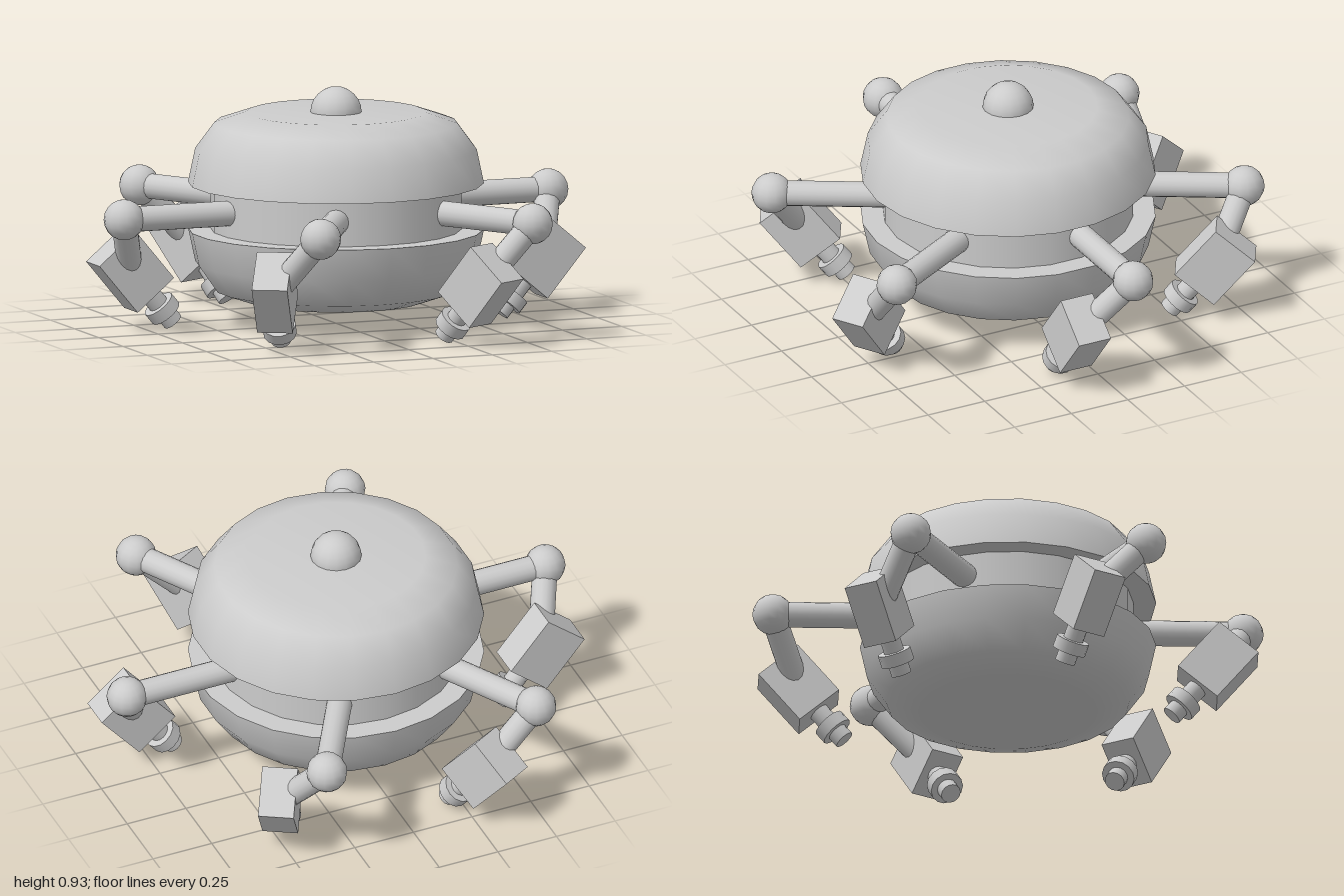
import * as THREE from 'three';

const material = new THREE.MeshStandardMaterial({ color: 0xcccccc });
const SIDES = 22;

function add(parent, name, geometry, x = 0, y = 0, z = 0) {
  const mesh = new THREE.Mesh(geometry, material);
  mesh.name = name;
  mesh.position.set(x, y, z);
  parent.add(mesh);
  return mesh;
}

// Revolved surface from [radius, height] pairs
function lathe(parent, name, profile) {
  const points = profile.map(([r, y]) => new THREE.Vector2(r, y));
  return add(parent, name, new THREE.LatheGeometry(points, SIDES));
}

// Cylinder running between two points
function rod(parent, name, a, b, radius) {
  const dir = b.clone().sub(a);
  const mesh = add(parent, name, new THREE.CylinderGeometry(radius, radius, dir.length(), 16));
  mesh.position.copy(a).add(b).multiplyScalar(0.5);
  mesh.quaternion.setFromUnitVectors(new THREE.Vector3(0, 1, 0), dir.normalize());
  return mesh;
}

// One leg reaching along +x: arm, elbow, forearm, tilted foot block with a stepped tip
function createLeg() {
  const leg = new THREE.Group();
  leg.name = 'leg';
  const elbow = new THREE.Vector3(0.92, 0.475, -0.065);
  const block = new THREE.Vector3(0.815, 0.245, 0.13);

  rod(leg, 'upperArm', new THREE.Vector3(0.4, 0.475, -0.065), elbow, 0.05);
  add(leg, 'elbowJoint', new THREE.SphereGeometry(0.08, 14, 10), elbow.x, elbow.y, elbow.z);
  rod(leg, 'forearm', elbow, block, 0.05);

  const foot = new THREE.Group();
  foot.name = 'foot';
  foot.position.copy(block);
  foot.rotation.z = THREE.MathUtils.degToRad(-40);
  add(foot, 'footBlock', new THREE.BoxGeometry(0.2, 0.25, 0.14));
  add(foot, 'footShaft', new THREE.CylinderGeometry(0.04, 0.04, 0.18, 14), 0, -0.19, 0);
  add(foot, 'footCollar', new THREE.CylinderGeometry(0.066, 0.066, 0.05, 14), 0, -0.21, 0);
  leg.add(foot);
  return leg;
}

export function createModel() {
  const model = new THREE.Group();
  model.name = 'sixLeggedMachine';

  // Body: lower bowl, recessed drum, upper dome
  const body = new THREE.Group();
  body.name = 'body';
  lathe(body, 'lowerBowl', [[0, 0.1], [0.35, 0.1], [0.475, 0.143], [0.55, 0.25], [0.578, 0.38]]);
  lathe(body, 'lowerLedge', [[0.578, 0.38], [0.45, 0.38]]);
  lathe(body, 'drum', [[0.49, 0.37], [0.49, 0.57]]);
  lathe(body, 'upperUnderside', [[0.45, 0.562], [0.578, 0.562]]);
  lathe(body, 'upperDome', [[0.578, 0.562], [0.55, 0.695], [0.475, 0.797], [0.35, 0.84], [0, 0.84]]);
  add(body, 'topKnob', new THREE.SphereGeometry(0.1, 16, 12), 0, 0.84, 0);
  model.add(body);

  // Six legs evenly spaced around the body
  for (let i = 0; i < 6; i++) {
    const leg = createLeg();
    leg.rotation.y = (i * Math.PI) / 3;
    model.add(leg);
  }
  return model;
}
